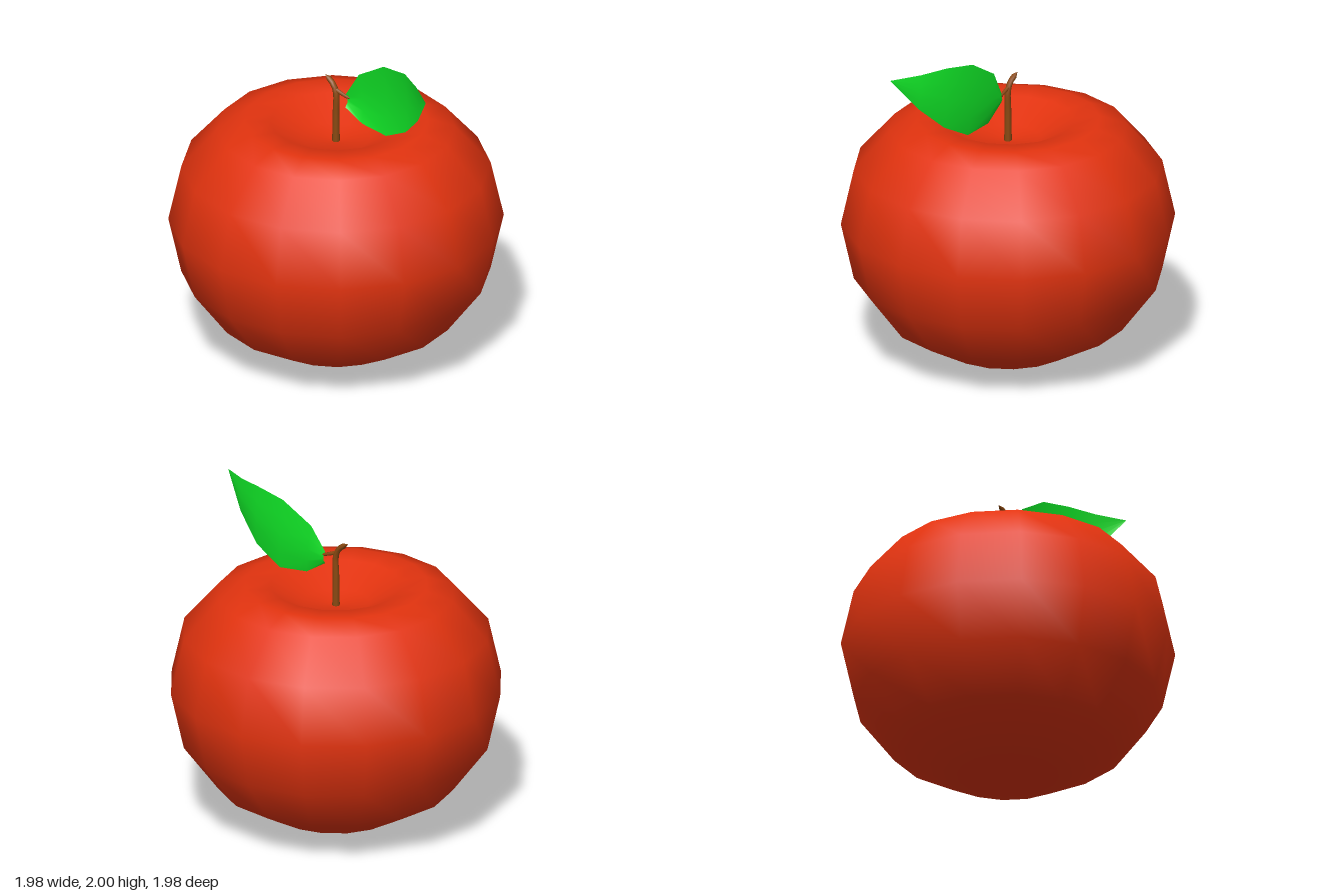
import * as THREE from 'three';

const skin = new THREE.MeshStandardMaterial({ color: 0xe2330f });
skin.name = 'red skin';
const bark = new THREE.MeshStandardMaterial({ color: 0x8b4a12 });
bark.name = 'brown bark';
const green = new THREE.MeshStandardMaterial({ color: 0x10e026, side: THREE.DoubleSide });
green.name = 'leaf green';

function part(name, geometry, material) {
  const mesh = new THREE.Mesh(geometry, material);
  mesh.name = name;
  return mesh;
}

// Tube that tapers along its path and closes to a point at the end
function twig(points, startRadius, endRadius, rings, sides) {
  const path = new THREE.CatmullRomCurve3(points.map(p => new THREE.Vector3(...p)));
  const geometry = new THREE.TubeGeometry(path, rings, 1, sides);
  const pos = geometry.attributes.position;
  const v = new THREE.Vector3();
  for (let i = 0; i < pos.count; i++) {
    const ring = Math.floor(i / (sides + 1));
    const centre = path.getPointAt(ring / rings);
    const radius = ring === rings ? 0.001 : THREE.MathUtils.lerp(startRadius, endRadius, ring / rings);
    v.fromBufferAttribute(pos, i).sub(centre).multiplyScalar(radius).add(centre);
    pos.setXYZ(i, v.x, v.y, v.z);
  }
  return geometry;
}

// Curved blade: each section is [z lower, y lower, z upper, y upper, x of midrib, cup depth]
function blade(sections, across) {
  const positions = [], index = [];
  sections.forEach(([z0, y0, z1, y1, x, cup], i) => {
    for (let j = 0; j <= across; j++) {
      const t = j / across, v = 2 * t - 1;
      const drop = cup * v * v * (v < 0 ? 1 : 0.5);
      positions.push(x - drop, y0 + (y1 - y0) * t, z0 + (z1 - z0) * t);
      if (i && j) {
        const d = i * (across + 1) + j, c = d - 1, b = d - across - 1, a = b - 1;
        index.push(a, b, c, b, d, c);
      }
    }
  });
  const geometry = new THREE.BufferGeometry();
  geometry.setAttribute('position', new THREE.Float32BufferAttribute(positions, 3));
  geometry.setIndex(index);
  geometry.computeVertexNormals();
  return geometry;
}

export function createModel() {
  const group = new THREE.Group();
  group.name = 'apple';

  // Sixteen-sided body with a sunken top
  const profile = [
    [0, 0], [0.38, 0.065], [0.705, 0.245], [0.915, 0.525], [0.992, 0.872], [0.915, 1.215],
    [0.705, 1.455], [0.545, 1.51], [0.39, 1.5], [0.2, 1.39], [0, 1.37],
  ].map(p => new THREE.Vector2(...p));
  group.add(part('body', new THREE.LatheGeometry(profile, 16), skin));

  // Stem leaning back at the top, with a thin stalk for the leaf
  group.add(part('stem', twig(
    [[0, 1.36, 0], [0, 1.55, 0], [0, 1.69, 0], [0, 1.74, -0.025], [0, 1.78, -0.085]],
    0.023, 0.016, 14, 8), bark));
  group.add(part('leafStalk', twig(
    [[0, 1.71, -0.005], [0.005, 1.695, 0.035], [0.015, 1.675, 0.1]],
    0.013, 0.009, 5, 6), bark));

  // Upright cupped leaf that curls sideways towards its tip
  group.add(part('leaf', blade([
    [0.08, 1.62, 0.073, 1.7, 0.02, 0.025],
    [0.2, 1.545, 0.16, 1.85, 0.037, 0.022],
    [0.39, 1.528, 0.36, 1.97, 0.04, 0.022],
    [0.575, 1.625, 0.56, 2.0, 0.01, 0.02],
    [0.735, 1.775, 0.72, 1.988, -0.06, 0.015],
    [0.885, 1.975, 0.885, 1.978, -0.165, 0],
  ], 4), green));

  return group;
}
